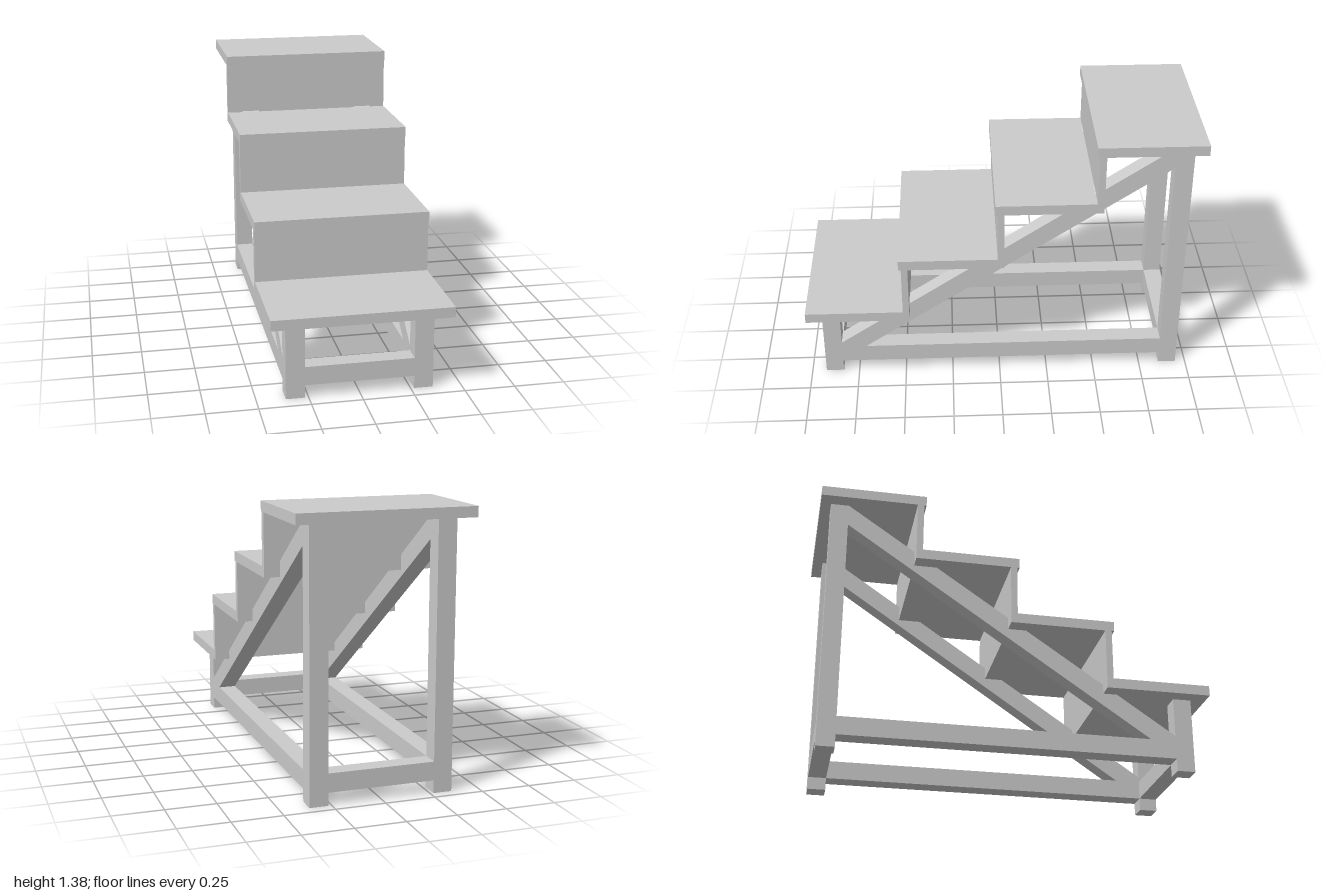
import * as THREE from 'three';

const material = new THREE.MeshStandardMaterial({ color: 0xcccccc, flatShading: true });

export function createModel() {
  const group = new THREE.Group();
  group.name = 'woodenSteps';

  // Box given by its extents along each axis
  const box = (name, x0, x1, y0, y1, z0, z1) => {
    const mesh = new THREE.Mesh(new THREE.BoxGeometry(x1 - x0, y1 - y0, z1 - z0), material);
    mesh.position.set((x0 + x1) / 2, (y0 + y1) / 2, (z0 + z1) / 2);
    mesh.name = name;
    group.add(mesh);
  };

  const halfWidth = 0.44;
  const legIn = 0.267, legOut = 0.36;
  const railLow = 0.064, railHigh = 0.158;
  const front = [0.833, 0.925], back = [-0.947, -0.855];

  // Treads: [bottom, top, back z, front z]
  const treads = [
    [0.385, 0.437, 0.467, 1.0],
    [0.7, 0.752, -0.02, 0.513],
    [1.014, 1.066, -0.508, 0.025],
    [1.328, 1.38, -1.0, -0.463],
  ];
  treads.forEach(([y0, y1, z0, z1], i) => {
    box('tread' + (i + 1), -halfWidth, halfWidth, y0, y1, z0, z1);
    // Riser from this tread's back edge to the next tread
    if (i < 3) box('riser' + (i + 1), -halfWidth, halfWidth, y1, treads[i + 1][0], z0, z0 + 0.033);
  });

  // Sloping stringer outline, drawn as (z, y)
  const outline = new THREE.Shape([
    [0.833, railHigh], [0.833, 0.185], [-0.855, 1.328], [-0.855, 1.215], [0.705, railHigh],
  ].map(([z, y]) => new THREE.Vector2(-z, y)));
  const stringerGeometry = new THREE.ExtrudeGeometry(outline, { depth: legOut - legIn, bevelEnabled: false });
  stringerGeometry.rotateY(Math.PI / 2); // shape x -> -z, depth -> +x

  for (const [side, s] of [['left', 1], ['right', -1]]) {
    const x0 = s > 0 ? legIn : -legOut;
    const x1 = s > 0 ? legOut : -legIn;
    box(side + 'FrontLeg', x0, x1, 0, treads[0][0], ...front);
    box(side + 'BackLeg', x0, x1, 0, treads[3][0], ...back);
    box(side + 'Rail', x0, x1, railLow, railHigh, back[1], front[0]);
    const stringer = new THREE.Mesh(stringerGeometry, material);
    stringer.position.x = x0;
    stringer.name = side + 'Stringer';
    group.add(stringer);
  }

  // Cross rails joining the legs
  box('frontRail', -legIn, legIn, railLow, railHigh, ...front);
  box('backRail', -legIn, legIn, railLow, railHigh, ...back);

  return group;
}
